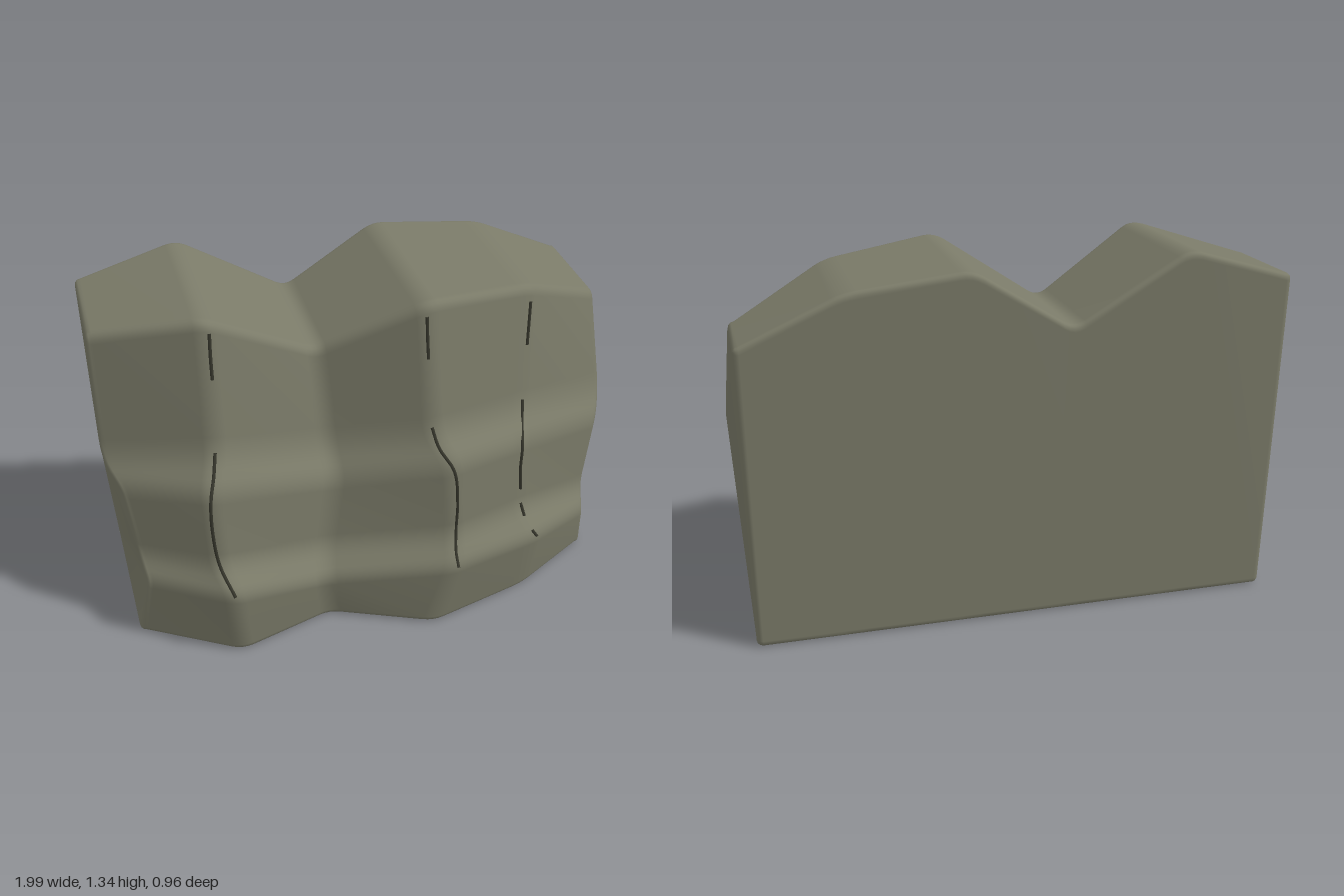
import * as THREE from 'three';

const BACK = -0.48;

// Rock columns from right to left of the viewer's far side: back bottom, back top,
// front top, upper bend, bulge top, bulge bottom, ledge, front foot
const columns = [
  [[-0.965, 0, BACK], [-0.99, 1.24, BACK], [-0.99, 1.225, -0.05], [-1.0, 0.74, 0.0], [-0.95, 0.66, 0.10], [-0.92, 0.36, 0.13], [-0.905, 0.29, 0.21], [-0.955, 0, 0.16]],
  [[-0.6, 0, BACK], [-0.6, 1.345, BACK], [-0.6, 1.325, 0.145], [-0.61, 0.82, 0.21], [-0.65, 0.72, 0.30], [-0.645, 0.40, 0.32], [-0.61, 0.31, 0.405], [-0.59, 0, 0.37]],
  [[-0.2, 0, BACK], [-0.19, 1.095, BACK], [-0.19, 1.08, 0.025], [-0.175, 0.70, 0.09], [-0.17, 0.60, 0.18], [-0.22, 0.30, 0.20], [-0.24, 0.21, 0.29], [-0.22, 0, 0.26]],
  [[0.17, 0, BACK], [0.17, 1.32, BACK], [0.17, 1.305, 0.205], [0.185, 0.80, 0.28], [0.235, 0.71, 0.37], [0.25, 0.39, 0.385], [0.23, 0.30, 0.465], [0.16, 0, 0.43]],
  [[0.6, 0, BACK], [0.6, 1.27, BACK], [0.6, 1.255, 0.095], [0.575, 0.78, 0.17], [0.55, 0.69, 0.27], [0.56, 0.38, 0.28], [0.6, 0.28, 0.36], [0.57, 0, 0.325]],
  [[0.96, 0, BACK], [0.965, 1.115, BACK], [0.965, 1.095, -0.085], [1.0, 0.69, 0.0], [0.96, 0.60, 0.085], [0.92, 0.28, 0.10], [0.9, 0.21, 0.18], [0.92, 0, 0.145]],
].map((col) => col.map((p) => new THREE.Vector3(...p)));
const radii = [0.025, 0.025, 0.035, 0.07, 0.05, 0.05, 0.04, 0.025];

// Replace one corner by a short curve
function fillet(prev, p, next, r, n) {
  const start = p.clone().lerp(prev, Math.min(0.42, r / p.distanceTo(prev)));
  const end = p.clone().lerp(next, Math.min(0.42, r / p.distanceTo(next)));
  return new THREE.QuadraticBezierCurve3(start, p, end).getPoints(n);
}

const roundLoop = (col) => col.flatMap((p, i) =>
  fillet(col[(i + 7) % 8], p, col[(i + 1) % 8], radii[i], 4));

// Shrink an end loop in its own plane for the bevel of the side
function inset(loop, d) {
  const n = loop.length;
  return loop.map((p, i) => {
    const a = loop[(i + n - 1) % n], b = loop[(i + 1) % n];
    const t = new THREE.Vector3(0, b.y - a.y, b.z - a.z).normalize();
    return new THREE.Vector3(p.x, p.y - t.z * d, p.z + t.y * d);
  });
}

function rockGeometry() {
  const loops = columns.map(roundLoop);
  const n = loops[0].length;
  const rings = [];
  // Rounded side edge: 0 is the cap rim, 1 is the full section
  const endRings = (loop, side) => [0, 0.33, 0.67, 1].map((t) => {
    const a = t * Math.PI / 2, d = 0.022;
    return inset(loop, d * (1 - Math.sin(a)))
      .map((p) => p.setX(p.x - side * d * (1 - Math.cos(a))));
  });
  rings.push(...endRings(loops[0], -1));
  for (let c = 1; c < 5; c++) {
    const rows = loops[c].map((p, i) => fillet(loops[c - 1][i], p, loops[c + 1][i], 0.045, 4));
    for (let k = 0; k <= 4; k++) rings.push(rows.map((row) => row[k]));
  }
  rings.push(...endRings(loops[5], 1).reverse());

  const positions = rings.flat().flatMap((p) => [p.x, p.y, p.z]);
  const index = [];
  for (let c = 0; c < rings.length - 1; c++) {
    for (let i = 0; i < n; i++) {
      const a = c * n + i, b = c * n + (i + 1) % n;
      index.push(a, b, b + n, a, b + n, a + n);
    }
  }
  // Flat sides
  for (const [ring, side] of [[0, -1], [rings.length - 1, 1]]) {
    const pts = rings[ring].map((p) => new THREE.Vector2(p.z, p.y));
    for (const [a, b, c] of THREE.ShapeUtils.triangulateShape(pts, [])) {
      const u = pts[b].clone().sub(pts[a]), v = pts[c].clone().sub(pts[a]);
      const facing = u.y * v.x - u.x * v.y;
      const tri = facing * side > 0 ? [a, b, c] : [a, c, b];
      index.push(...tri.map((k) => k + ring * n));
    }
  }
  const geo = new THREE.BufferGeometry();
  geo.setAttribute('position', new THREE.Float32BufferAttribute(positions, 3));
  geo.setIndex(index);
  geo.computeVertexNormals();
  return geo;
}

// Thin cracks running down the ridges
const cracks = [
  [[-0.588, 1.28, 0.148], [-0.592, 1.2, 0.158], [-0.594, 1.11, 0.17]],
  [[0.167, 1.26, 0.212], [0.168, 1.18, 0.222], [0.17, 1.1, 0.234]],
  [[0.607, 1.2, 0.108], [0.602, 1.12, 0.12], [0.597, 1.03, 0.132]],
  [[-0.612, 0.83, 0.208], [-0.63, 0.76, 0.252], [-0.655, 0.69, 0.305], [-0.66, 0.55, 0.315], [-0.645, 0.4, 0.325], [-0.61, 0.315, 0.41]],
  [[0.178, 0.83, 0.275], [0.195, 0.76, 0.315], [0.235, 0.69, 0.375], [0.25, 0.55, 0.388], [0.25, 0.42, 0.388], [0.24, 0.345, 0.425], [0.235, 0.305, 0.475]],
  [[0.582, 0.81, 0.168], [0.57, 0.74, 0.205], [0.55, 0.67, 0.272], [0.547, 0.57, 0.278], [0.555, 0.47, 0.28]],
  [[0.56, 0.4, 0.28], [0.57, 0.35, 0.305]],
  [[0.59, 0.305, 0.345], [0.605, 0.285, 0.365]],
];

export function createModel() {
  const stone = new THREE.MeshStandardMaterial({ color: 0x7a7a68 });
  stone.name = 'mossy stone';
  const dark = new THREE.MeshStandardMaterial({ color: 0x35352b });
  dark.name = 'dark crack';

  const group = new THREE.Group();
  group.name = 'cliffRock';
  const rock = new THREE.Mesh(rockGeometry(), stone);
  rock.name = 'rockBody';
  group.add(rock);

  const crackGroup = new THREE.Group();
  crackGroup.name = 'cracks';
  for (const pts of cracks) {
    const path = new THREE.CatmullRomCurve3(pts.map((p) => new THREE.Vector3(...p)));
    const crack = new THREE.Mesh(new THREE.TubeGeometry(path, 6 * pts.length, 0.006, 6), dark);
    crack.name = 'crack';
    crackGroup.add(crack);
  }
  group.add(crackGroup);
  return group;
}
